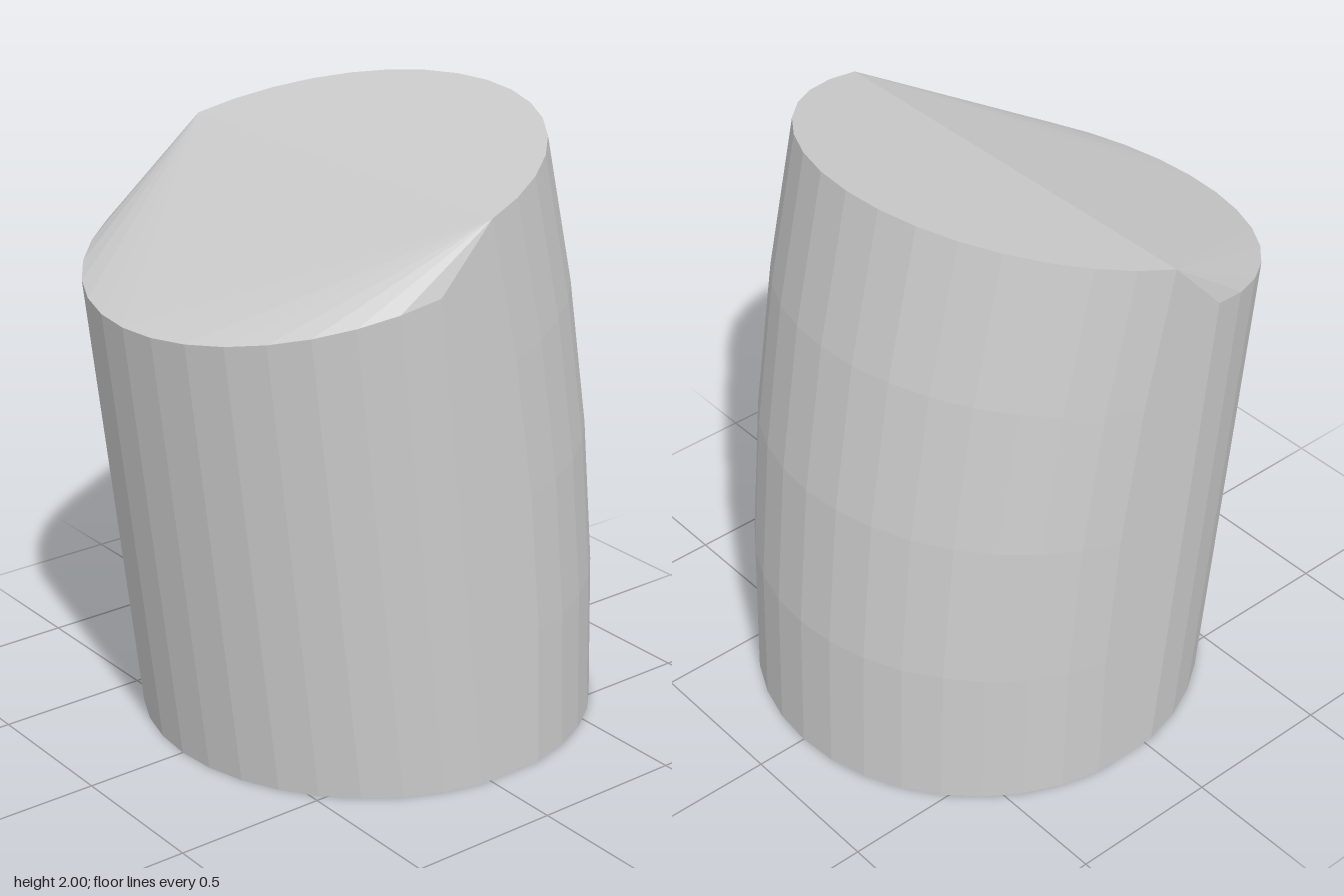
import * as THREE from 'three';

const RADIUS = 0.742, CENTER_X = 0.085, ROWS = 4, HALF = 16;
const BEND = THREE.MathUtils.degToRad(15);
const PIVOT_X = -6.902; // axis of the bend, at floor level

// Angles round the base: a right arc and a left arc with a flat panel between them
const angles = [];
for (const start of [-81, 99]) {
  for (let i = 0; i <= HALF; i++) angles.push(THREE.MathUtils.degToRad(start + (162 * i) / HALF));
}
const COUNT = angles.length;

// Point on the wall: the right half bends along an arc, the left half leans straight
function wallPoint(i, row) {
  const a = angles[i % COUNT];
  const x = CENTER_X + RADIUS * Math.cos(a);
  const z = RADIUS * Math.sin(a);
  const t = row / ROWS;
  if (i % COUNT <= HALF) {
    const rho = x - PIVOT_X;
    return [PIVOT_X + rho * Math.cos(BEND * t), rho * Math.sin(BEND * t), z];
  }
  const topX = -0.83 + (x + 0.657) * Math.cos(BEND);
  const topY = 1.475 + (topX + 0.83) * Math.tan(BEND);
  return [x + (topX - x) * t, topY * t, z];
}

function meshFrom(name, triangles) {
  const geometry = new THREE.BufferGeometry();
  geometry.setAttribute('position', new THREE.Float32BufferAttribute(triangles.flat(2), 3));
  geometry.computeVertexNormals();
  const mesh = new THREE.Mesh(geometry, new THREE.MeshStandardMaterial({ color: 0xcccccc, flatShading: true }));
  mesh.name = name;
  return mesh;
}

export function createModel() {
  const group = new THREE.Group();
  group.name = 'bentCylinder';

  // Side wall
  const wall = [];
  for (let row = 0; row < ROWS; row++) {
    for (let i = 0; i < COUNT; i++) {
      const a = wallPoint(i, row), b = wallPoint(i + 1, row);
      const c = wallPoint(i + 1, row + 1), d = wallPoint(i, row + 1);
      wall.push([a, d, b], [b, d, c]);
    }
  }
  group.add(meshFrom('wall', wall));

  // Flat base
  const base = [];
  for (let i = 1; i < COUNT - 1; i++) base.push([wallPoint(0, 0), wallPoint(i, 0), wallPoint(i + 1, 0)]);
  group.add(meshFrom('base', base));

  // Top: upper half disc, sloping triangle, and a fan at each corner down to the lower rim
  const rim = (i) => wallPoint(i, ROWS);
  const back = 0, front = HALF, leftStart = HALF + 1, leftMid = leftStart + HALF / 2;
  const top = [];
  for (let i = 1; i < HALF; i++) top.push([rim(back), rim(i + 1), rim(i)]);
  top.push([rim(leftMid), rim(front), rim(back)]);
  for (let k = leftStart; k < COUNT - 1; k++) {
    top.push([rim(k < leftMid ? front : back), rim(k + 1), rim(k)]);
  }
  group.add(meshFrom('top', top));
  return group;
}
